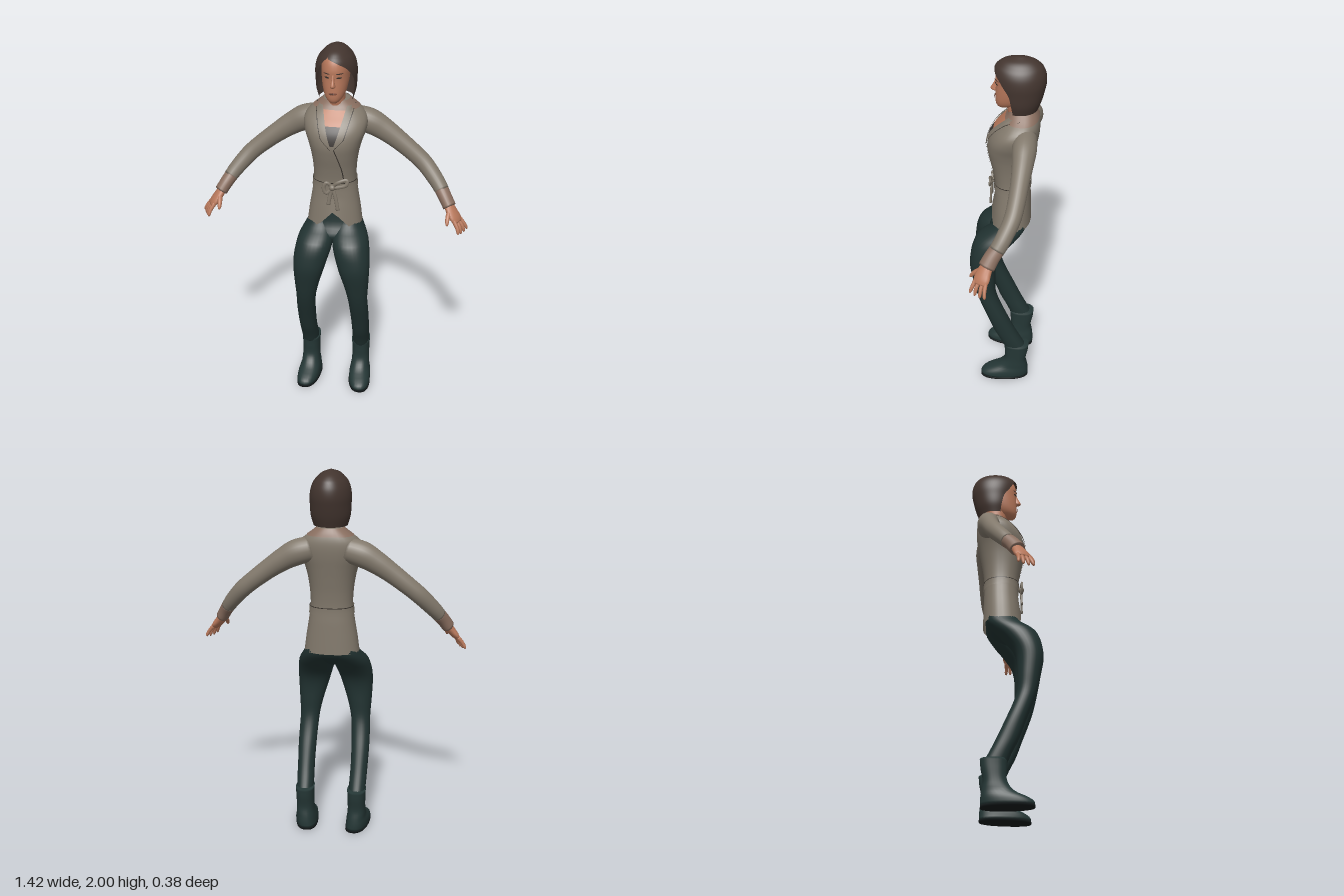
import * as THREE from 'three';

const mat = (name, color, side = THREE.FrontSide) => {
  const m = new THREE.MeshStandardMaterial({ color, side });
  m.name = name;
  return m;
};

// Smooth value of a table at t (first column is the ascending parameter)
function at(T, t) {
  let i = 0;
  while (i < T.length - 2 && t > T[i + 1][0]) i++;
  const slope = (k, c) => {
    const a = T[Math.max(k - 1, 0)], b = T[Math.min(k + 1, T.length - 1)];
    return (b[c] - a[c]) / (b[0] - a[0]);
  };
  const A = T[i], B = T[i + 1], h = B[0] - A[0], u = (t - A[0]) / h, v = u * u, w = v * u;
  return A.map((a, c) => c === 0 ? t : a * (2 * w - 3 * v + 1) + B[c] * (3 * v - 2 * w)
    + h * (slope(i, c) * (w - 2 * v + u) + slope(i + 1, c) * (w - v)));
}
// Rows [y, halfWidth, front, back, ...] to [y, x0, x1, front, back, ...]
const sym = (T) => T.map(([y, w, ...r]) => [y, -w, w, ...r]);
const spow = (v, e) => Math.sign(v) * Math.abs(v) ** e;

// Horizontal superellipse ring of a table at height y
function ring(T, y, p = 2, grow = 0, a0 = 0, a1 = Math.PI * 2, n = 32, closed = true) {
  const [, x0, x1, f, b] = at(T, y), pts = [];
  for (let j = 0; j < n; j++) {
    const a = a0 + (a1 - a0) * j / (closed ? n : n - 1);
    pts.push([(x0 + x1) / 2 + ((x1 - x0) / 2 + grow) * spow(Math.sin(a), 2 / p), y,
      (f + b) / 2 + ((f - b) / 2 + grow) * spow(Math.cos(a), 2 / p)]);
  }
  return pts;
}

// Skin a grid of points, optionally closed round and capped
function grid(rows, closed = true, capStart = closed, capEnd = closed, flip = false) {
  const n = rows[0].length, pos = rows.flat(2), idx = [];
  const tri = (a, b, c) => flip ? idx.push(a, c, b) : idx.push(a, b, c);
  for (let i = 0; i < rows.length - 1; i++) for (let j = 0; j < (closed ? n : n - 1); j++) {
    const k = (j + 1) % n, a = i * n + j, b = i * n + k;
    tri(a, b, b + n);
    tri(a, b + n, a + n);
  }
  const cap = (r, end) => {
    const c = pos.length / 3;
    for (let d = 0; d < 3; d++) pos.push(rows[r].reduce((s, q) => s + q[d], 0) / n);
    for (let j = 0; j < n; j++) {
      const a = r * n + j, b = r * n + (j + 1) % n;
      end ? tri(c, a, b) : tri(c, b, a);
    }
  };
  if (capStart) cap(0, false);
  if (capEnd) cap(rows.length - 1, true);
  const g = new THREE.BufferGeometry();
  g.setAttribute('position', new THREE.Float32BufferAttribute(pos, 3));
  g.setIndex(idx);
  g.computeVertexNormals();
  return g;
}
const mirrorX = (rows) => rows.map((r) => r.map(([x, y, z]) => [-x, y, z]));
const steps = (a, b, n) => Array.from({ length: n + 1 }, (_, i) => a + (b - a) * i / n);
const loftRows = (T, p, n, grow = 0, y0 = T[0][0], y1 = T[T.length - 1][0]) =>
  steps(y0, y1, n).map((y) => ring(T, y, p, grow));

// Elliptical limb along rows [x, y, z, radiusAlongSide, radiusAcross]
function sweepRows(path, side, n = 24, m = 16) {
  const T = path.map((r, i) => [i, ...r]), end = path.length - 1;
  return steps(0, end, n).map((t) => {
    const [, x, y, z, ra, rb] = at(T, t);
    const d = at(T, Math.min(t + 0.05, end)), e = at(T, Math.max(t - 0.05, 0));
    const tan = new THREE.Vector3(d[1] - e[1], d[2] - e[2], d[3] - e[3]).normalize();
    const W = new THREE.Vector3(...side).addScaledVector(tan, -tan.dot(new THREE.Vector3(...side))).normalize();
    const N = W.clone().cross(tan);
    return steps(0, Math.PI * 2, m).slice(0, m).map((a) => new THREE.Vector3(x, y, z)
      .addScaledVector(W, ra * Math.sin(a)).addScaledVector(N, rb * Math.cos(a)).toArray());
  });
}

// Thin plate hugging the front of a lofted body between xl(y) and xr(y)
function patch(T, p, y0, y1, xl, xr, off, n = 14, m = 8) {
  return grid(steps(y0, y1, n).map((y) => {
    const [, x0, x1, f, b] = at(T, y), w = (x1 - x0) / 2;
    return steps(xl(y), xr(y), m).map((x) => [x, y,
      (f + b) / 2 + off + (f - b) / 2 * Math.max(0, 1 - Math.abs(x / w) ** p) ** (1 / p)]);
  }), false);
}

const TORSO = sym([[1.035, .147, .085, -.122], [1.12, .136, .077, -.12], [1.2, .123, .07, -.118],
  [1.28, .112, .068, -.115], [1.36, .114, .08, -.122], [1.44, .125, .098, -.135], [1.5, .14, .106, -.146],
  [1.56, .16, .095, -.157], [1.61, .165, .066, -.162], [1.65, .145, .03, -.16], [1.685, .1, 0, -.15],
  [1.715, .062, -.015, -.135]]);
const PELVIS = sym([[.94, .03, .08, 0], [.98, .1, .1, -.06], [1.04, .135, .07, -.105], [1.18, .105, .055, -.1]]);
const LEG = [[.22, .1, .19, 0, -.122], [.28, .1, .193, .025, -.09], [.35, .102, .195, .06, -.055],
  [.45, .1, .198, .097, -.01], [.55, .095, .197, .135, .033], [.62, .088, .195, .157, .053],
  [.7, .07, .2, .175, .055], [.8, .04, .205, .193, .05], [.86, .022, .205, .19, .03],
  [.92, .004, .198, .178, -.015], [.97, -.002, .185, .152, -.06], [1.03, 0, .15, .075, -.102], [1.1, .01, .12, .05, -.1]];
const BOOT = [[.012, .09, .211, .138, -.13], [.03, .09, .211, .135, -.131], [.05, .09, .208, .108, -.13],
  [.08, .093, .197, .045, -.126], [.13, .096, .192, .004, -.118], [.2, .095, .193, .002, -.13], [.245, .093, .195, .006, -.134]];
const HEAD = sym([[1.722, .018, .048, .0], [1.735, .036, .058, -.04], [1.76, .052, .063, -.08], [1.8, .064, .063, -.12],
  [1.85, .071, .061, -.15], [1.9, .072, .062, -.16], [1.95, .06, .043, -.15], [1.98, .03, 0, -.1]]);
const NECK = sym([[1.58, .065, .0, -.12], [1.66, .055, -.005, -.12], [1.71, .047, .004, -.11], [1.77, .048, .015, -.11]]);
// Last two columns: angles of the face opening on each side
const HAIR = sym([[1.72, .088, .03, -.15, 72, -72], [1.77, .102, .045, -.168, 70, -70], [1.83, .106, .06, -.183, 66, -64],
  [1.87, .107, .07, -.19, 55, -53], [1.91, .101, .074, -.188, 38, -43], [1.94, .089, .068, -.178, 10, -34],
  [1.96, .074, .055, -.165, -24, -24], [1.985, .046, .02, -.13, -24, -24], [2, .01, -.04, -.08, -24, -24]]);

export function createModel() {
  const model = new THREE.Group();
  const D = THREE.DoubleSide;
  const cardigan = mat('taupe knit', 0x82796c, D), warm = mat('warm taupe', 0x8a6f60, D);
  const trousers = mat('dark teal cloth', 0x213231), boots = mat('boot leather', 0x253736);
  const sole = mat('sole', 0x141a1b), skin = mat('skin', 0xb9795c, D), hair = mat('brown hair', 0x43352f, D);
  const seam = mat('dark seam', 0x35302b, D), lips = mat('lips', 0x85503f, D), top = mat('undershirt', 0x3d3835, D);
  const add = (name, geo, m) => {
    const mesh = new THREE.Mesh(geo, m);
    mesh.name = name;
    model.add(mesh);
    return mesh;
  };
  const pair = (name, rows, m) => {
    add('left' + name, grid(rows), m);
    add('right' + name, grid(mirrorX(rows), true, true, true, true), m);
  };

  // Legs and boots, feet turned slightly outward
  add('hips', grid(loftRows(PELVIS, 2.2, 12)), trousers);
  pair('Leg', loftRows(LEG, 2.2, 44), trousers);
  const splay = (rows) => rows.map((r) => r.map(([x, y, z]) => {
    const toe = Math.max(0, 1 - y / 0.1);
    return [x + toe * (z * 0.1 - 0.006), y, z];
  }));
  pair('Boot', splay(loftRows(BOOT, 2.4, 20)), boots);
  pair('Sole', splay([0, 0.013].map((y) => ring(BOOT, 0.012, 2.4, 0.001).map(([x, , z]) => [x, y, z]))), sole);

  // Cardigan body, hem parting upward at the front
  const body = loftRows(TORSO, 2.3, 56).map((r) => r.map(([x, y, z]) => {
    const k = z > 0 && y < 1.2 ? Math.max(0, 1 - Math.abs(x - 0.005) / 0.085) : 0;
    return [x, y + (1.2 - y) * k * 0.55, z];
  }));
  add('cardiganBody', grid(body, true, false, true), cardigan);
  add('backCollar', grid(loftRows(TORSO, 2.3, 6, 0.004, 1.672, 1.713), true, false, false), warm);

  // Neckline: skin, undershirt, lapels and the overlapping edge
  const inner = (y) => 0.004 + 0.058 * Math.max(0, (y - 1.5) / 0.19) ** 0.85;
  const outer = (y) => inner(y) + 0.036 * Math.min(1, (y - 1.485) / 0.06);
  add('chestSkin', patch(TORSO, 2.3, 1.59, 1.71, (y) => -inner(y), inner, 0.003), skin);
  add('undershirt', patch(TORSO, 2.3, 1.51, 1.605, (y) => -inner(y), inner, 0.004), top);
  for (const s of [1, -1]) {
    const span = (a, b) => s > 0 ? [a, b] : [(y) => -b(y), (y) => -a(y)];
    add('lapel', patch(TORSO, 2.3, 1.49, 1.69, ...span(inner, outer), 0.008), cardigan);
    add('lapelSeam', patch(TORSO, 2.3, 1.49, 1.69, ...span(outer, (y) => outer(y) + 0.004), 0.006), seam);
  }
  const edge = (y) => 0.005 + 0.05 * Math.sin((1.5 - y) / 0.22 * Math.PI / 2);
  add('frontEdge', patch(TORSO, 2.3, 1.29, 1.5, edge, (y) => edge(y) + 0.005, 0.004), seam);

  // Sash with bow and hanging ends
  add('sash', grid(loftRows(TORSO, 2.3, 4, 0.005, 1.245, 1.29), true, false, false), cardigan);
  add('sashSeam', grid(loftRows(TORSO, 2.3, 1, 0.0058, 1.285, 1.289), true, false, false), seam);
  const strap = (name, path) => add(name, grid(sweepRows(path.map((q) => [...q, 0.006, 0.01]), [0, 0, 1], 20, 8)), cardigan);
  strap('bowLoop', [[.0, 1.27, .08], [.03, 1.3, .092], [.075, 1.315, .085], [.07, 1.285, .088], [.01, 1.265, .085]]);
  strap('bowLoop', [[.0, 1.27, .08], [-.03, 1.295, .088], [-.045, 1.265, .088], [-.03, 1.235, .088], [0, 1.265, .085]]);
  strap('sashEnd', [[.0, 1.27, .085], [.018, 1.21, .088], [.03, 1.14, .09]]);
  strap('sashEnd', [[.0, 1.27, .085], [-.012, 1.22, .086], [-.02, 1.17, .088]]);
  const knot = add('knot', new THREE.SphereGeometry(0.017, 14, 10), cardigan);
  knot.position.set(0, 1.268, 0.085);

  // Sleeves
  pair('Sleeve', sweepRows([[.09, 1.6, -.095, .06, .065], [.17, 1.578, -.1, .062, .068], [.24, 1.54, -.1, .054, .06],
    [.32, 1.485, -.095, .047, .052], [.41, 1.415, -.086, .044, .047], [.47, 1.362, -.072, .043, .045],
    [.53, 1.295, -.038, .041, .041], [.565, 1.25, -.01, .039, .037]], [0, 0, 1], 40, 24), cardigan);
  pair('Cuff', sweepRows([[.56, 1.256, -.014, .039, .037], [.585, 1.22, .012, .04, .035], [.61, 1.18, .034, .042, .034]],
    [0, 0, 1], 10, 24), warm);

  // Hands
  const W = [-0.45, 0.05, 0.85];
  pair('Palm', sweepRows([[.6, 1.195, .026, .03, .022], [.625, 1.155, .045, .04, .022], [.645, 1.128, .054, .043, .019],
    [.66, 1.108, .06, .036, .012]], W, 12), skin);
  for (const [t, len] of [[-.031, .85], [-.011, 1], [.011, 1.04], [.031, .92]]) {
    const on = (x, y, z, k) => [x + W[0] * t * k, y + W[1] * t * k, z + W[2] * t * k];
    pair('Finger', sweepRows([[...on(.65, 1.122, .057, 1), .01, .011], [...on(.673, 1.09, .066, 1.2), .0095, .01],
      [...on(.683, 1.09 - .026 * len, .07, 1.4), .008, .008], [...on(.685, 1.09 - .037 * len, .071, 1.45), .003, .003]], W, 10, 10), skin);
  }
  pair('Thumb', sweepRows([[.612, 1.168, .055, .014, .014], [.605, 1.142, .09, .012, .012], [.604, 1.118, .11, .009, .009],
    [.605, 1.108, .117, .003, .003]], [1, 0, 0], 10, 10), skin);

  // Neck, head and face
  add('neck', grid(loftRows(NECK, 2, 10)), skin);
  add('head', grid(loftRows(HEAD, 2.2, 30)), skin);
  const nose = grid(loftRows(sym([[1.808, .006, .07, .05], [1.815, .014, .084, .045], [1.825, .012, .087, .045],
    [1.85, .008, .073, .045], [1.875, .007, .063, .045]]), 2, 14));
  add('nose', nose, skin);
  const oval = (name, cx, cy, rx, ry, off, m) => {
    const w = (y) => rx * Math.sqrt(Math.max(0, 1 - ((y - cy) / ry) ** 2));
    add(name, patch(HEAD, 2.2, cy - ry, cy + ry, (y) => cx - w(y), (y) => cx + w(y), off, 8, 8), m);
  };
  for (const s of [1, -1]) {
    oval('eye', 0.031 * s, 1.861, 0.013, 0.005, 0.003, seam);
    oval('eyebrow', 0.033 * s, 1.882, 0.018, 0.003, 0.003, hair);
  }
  oval('mouth', 0, 1.778, 0.022, 0.007, 0.004, lips);
  oval('mouthLine', 0, 1.779, 0.02, 0.0014, 0.006, seam);

  // Bob hair with a swept fringe leaving the face open
  const hairRows = steps(0, 1, 44).map((u) => {
    const y = 1.72 + 0.28 * Math.sin(u * Math.PI / 2), r = at(HAIR, y), rad = Math.PI / 180;
    const lo = y > 1.96 ? -24 : Math.max(r[5], r[6]), hi = y > 1.96 ? -24 : r[6];
    return ring(HAIR, y, 2, 0, lo * rad, (360 + hi) * rad, 44, false);
  });
  add('hair', grid(hairRows, false, false, true), hair);
  return model;
}
